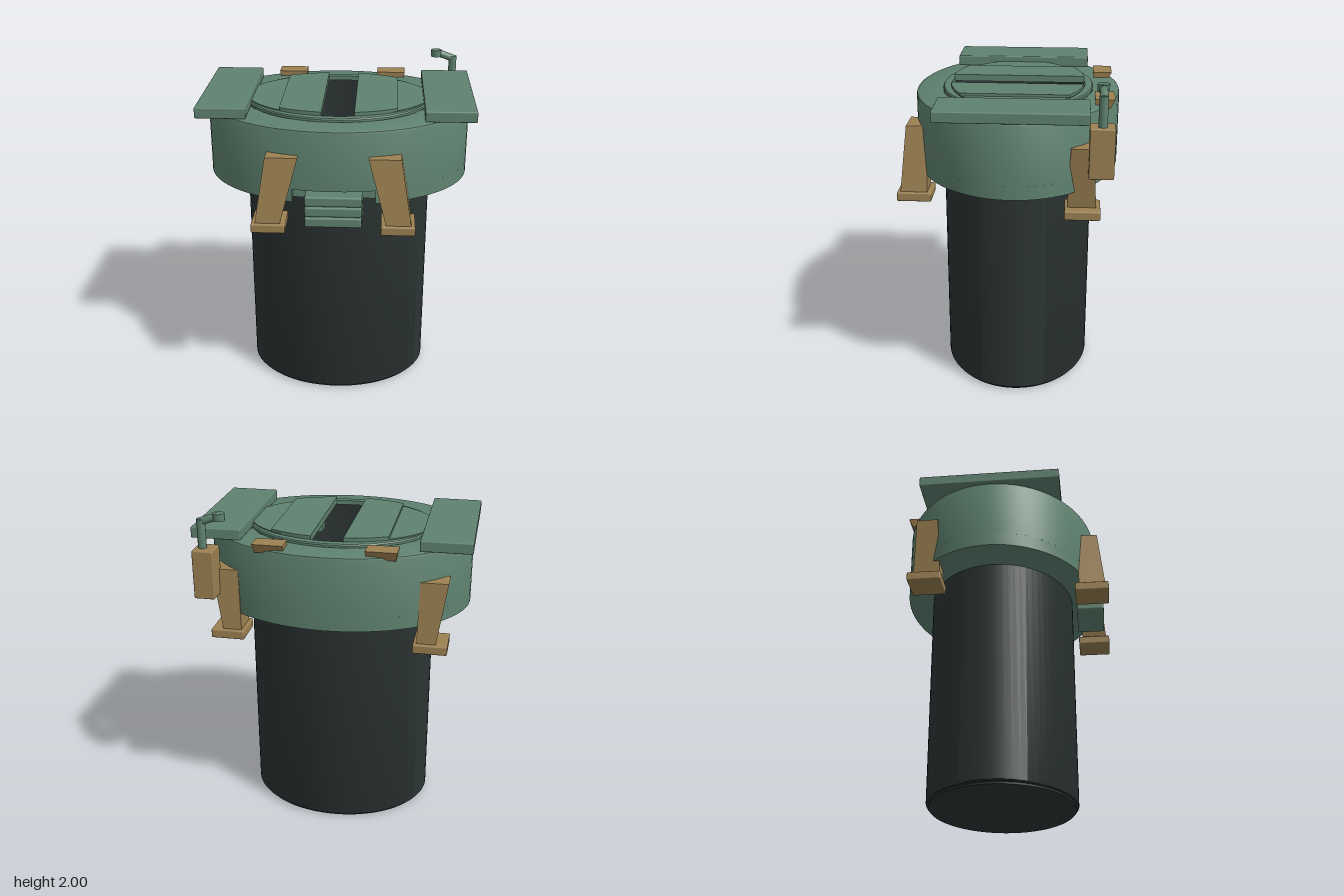
import * as THREE from 'three';
import { toCreasedNormals } from 'three/addons/utils/BufferGeometryUtils.js';
import { RoundedBoxGeometry } from 'three/addons/geometries/RoundedBoxGeometry.js';

const CZ = -0.04; // centre of the oval body in z

export function createModel() {
  const model = new THREE.Group();
  const mat = (name, color) => {
    const m = new THREE.MeshStandardMaterial({ color });
    m.name = name;
    return m;
  };
  const green = mat('green paint', 0x5f8270);
  const tan = mat('tan paint', 0x9c8152);
  const dark = mat('dark shaft', 0x2c3434);

  const add = (name, geometry, material) => {
    const mesh = new THREE.Mesh(geometry, material);
    mesh.name = name;
    model.add(mesh);
    return mesh;
  };
  // Box given by its limits, with slightly rounded edges
  const box = (name, m, [x0, x1], [y0, y1], [z0, z1], r = 0.008) => {
    const g = new RoundedBoxGeometry(x1 - x0, y1 - y0, z1 - z0, 2, r);
    g.translate((x0 + x1) / 2, (y0 + y1) / 2, (z0 + z1) / 2);
    return add(name, g, m);
  };
  // Oval turned part: profile of [x radius, y], squashed in z
  const oval = (name, m, profile, ratio) => {
    const g = new THREE.LatheGeometry(profile.map(([x, y]) => new THREE.Vector2(x, y)), 72);
    g.scale(1, 1, ratio);
    g.translate(0, 0, CZ);
    return add(name, toCreasedNormals(g, 0.6), m);
  };
  // Flat outline (x, -z) extruded upwards
  const slab = (name, m, points, y0, y1) => {
    const g = new THREE.ExtrudeGeometry(
      new THREE.Shape(points.map(([x, y]) => new THREE.Vector2(x, y))),
      { depth: y1 - y0, bevelEnabled: false });
    g.rotateX(-Math.PI / 2);
    g.translate(0, y0, CZ);
    return add(name, toCreasedNormals(g, 0.5), m);
  };
  // Strut between a bottom and a top rectangle [x0, x1, z0, z1]
  const strut = (name, m, y0, y1, low, high) => {
    const g = new THREE.BoxGeometry(1, 1, 1);
    const p = g.attributes.position;
    for (let i = 0; i < p.count; i++) {
      const up = p.getY(i) > 0, r = up ? high : low;
      p.setXYZ(i, r[p.getX(i) > 0 ? 1 : 0], up ? y1 : y0, r[p.getZ(i) > 0 ? 3 : 2]);
    }
    g.computeVertexNormals();
    return add(name, g, m);
  };
  const rod = (name, m, a, b, r) => {
    const from = new THREE.Vector3(...a), d = new THREE.Vector3(...b).sub(from);
    const mesh = add(name, new THREE.CylinderGeometry(r, r, d.length(), 20), m);
    mesh.position.copy(from).addScaledVector(d, 0.5);
    mesh.quaternion.setFromUnitVectors(new THREE.Vector3(0, 1, 0), d.normalize());
  };

  // Buried shaft with an open well at the top
  oval('shaft', dark, [[0, 0], [0.55, 0], [0.55, 0.012], [0.565, 0.015], [0.57, 0.022],
    [0.57, 1.822], [0.53, 1.822], [0.53, 1.5], [0, 1.5]], 0.807);

  // Collar: full upper ring, and a lower layer with a notch at the front
  oval('collar', green, [[0.565, 1.46], [0.795, 1.46], [0.795, 1.805], [0.79, 1.816],
    [0.778, 1.822], [0.565, 1.822], [0.565, 1.46]], 0.774);
  const t0 = Math.acos(0.24 / 0.795);
  const outline = [];
  for (let i = 0; i <= 72; i++) {
    const t = -t0 + (Math.PI + 2 * t0) * i / 72;
    outline.push([0.795 * Math.cos(t), 0.615 * Math.sin(t)]);
  }
  outline.push([-0.24, -0.51], [0.24, -0.51]);
  slab('lowerCollar', green, outline, 1.38, 1.46);

  // Raised lip around the hatch
  oval('hatchLip', green, [[0.5, 1.815], [0.56, 1.815], [0.56, 1.835], [0.553, 1.842],
    [0.5, 1.842], [0.5, 1.815]], 0.8125);

  // Sliding doors with raised panels, leaving a slot between them
  const ovalStrip = (x0, x1, rx, rz) => {
    const front = [], back = [];
    for (let i = 0; i <= 20; i++) {
      const x = x0 + (x1 - x0) * i / 20;
      const h = rz * Math.sqrt(Math.max(0.0001, 1 - (x / rx) ** 2));
      front.push([x, -h]);
      back.unshift([x, h]);
    }
    return [...front, ...back];
  };
  slab('rightDoor', green, ovalStrip(-0.55, -0.08, 0.555, 0.405), 1.825, 1.849);
  slab('leftDoor', green, ovalStrip(0.11, 0.55, 0.555, 0.405), 1.825, 1.849);
  slab('rightDoorPanel', green, ovalStrip(-0.33, -0.08, 0.57, 0.408), 1.849, 1.865);
  slab('leftDoorPanel', green, ovalStrip(0.11, 0.36, 0.57, 0.408), 1.849, 1.865);
  box('doorLatch', green, [0.12, 0.2], [1.76, 1.83], [-0.06, 0.02]);

  // Mirrored parts
  for (const s of [1, -1]) {
    const side = s > 0 ? 'left' : 'right';
    const mx = (a, b) => (s > 0 ? [a, b] : [-b, -a]);
    box(side + 'TopSlab', green, mx(0.515, 0.812), [1.82, 1.885], [-0.47, 0.385]);
    strut(side + 'FrontLeg', tan, 1.28, 1.67,
      [...mx(0.305, 0.45), 0.475, 0.635], [...mx(0.2, 0.385), 0.47, 0.597]);
    box(side + 'FrontFoot', tan, mx(0.275, 0.472), [1.228, 1.282], [0.45, 0.655]);
    strut(side + 'RearLeg', tan, 1.28, 1.65,
      [...mx(0.52, 0.632), -0.52, -0.355], [...mx(0.53, 0.69), -0.5, -0.37]);
    box(side + 'RearFoot', tan, mx(0.5, 0.7), [1.228, 1.282], [-0.545, -0.34]);
    strut(side + 'RimPad', tan, 1.8, 1.855,
      [...mx(0.235, 0.4), -0.59, -0.505], [...mx(0.23, 0.41), -0.617, -0.502]);
  }

  // Front steps in the notch
  for (let i = 0; i < 3; i++) {
    box('frontStep', green, [-0.165, 0.165], [1.255 + i * 0.062, 1.316 + i * 0.062],
      [0.45, 0.622 - i * 0.006], 0.012);
  }

  // Periscope on its box at the rear
  box('periscopeBox', tan, [0.642, 0.766], [1.5, 1.79], [-0.608, -0.468]);
  rod('periscopeStem', green, [0.72, 1.78, -0.538], [0.72, 1.962, -0.538], 0.025);
  rod('periscopeArm', green, [0.725, 1.945, -0.538], [0.62, 1.982, -0.538], 0.023);
  rod('periscopeHead', green, [0.613, 1.958, -0.538], [0.613, 2.0, -0.538], 0.034);

  return model;
}
